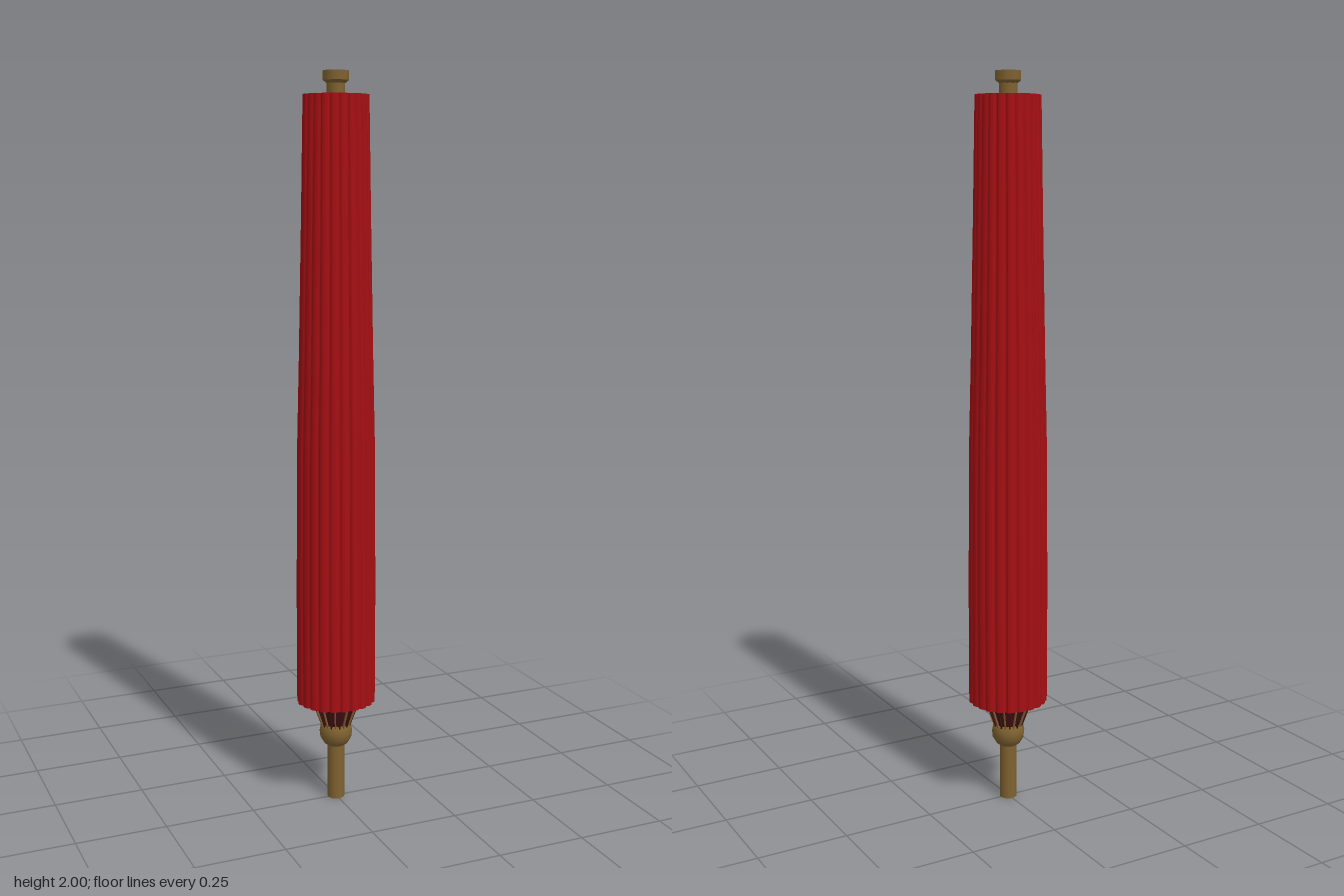
import * as THREE from 'three';

const PLEATS = 22;
const mat = (name, color, side = THREE.FrontSide) => {
  const m = new THREE.MeshStandardMaterial({ color, side });
  m.name = name;
  return m;
};

// small repeatable variation per pleat
const vary = (i) => {
  const s = Math.sin(i * 12.9898 + 4.1) * 43758.5453;
  return s - Math.floor(s);
};

// lathe whose radius is folded into overlapping pleats; depth(r, y) scales the folds
function pleated(profile, depth) {
  const g = new THREE.LatheGeometry(profile.map(([r, y]) => new THREE.Vector2(r, y)), PLEATS * 8);
  const p = g.attributes.position;
  for (let i = 0; i < p.count; i++) {
    const x = p.getX(i), y = p.getY(i), z = p.getZ(i);
    const r = Math.hypot(x, z);
    const turn = (Math.atan2(x, z) / (Math.PI * 2) + 1.00001) % 1 * PLEATS;
    const k = Math.floor(turn), f = turn - k;
    const fold = Math.sqrt(Math.sin(Math.PI * Math.pow(f, 0.75)));
    const s = 1 + depth(r, y) * (fold - 0.9 + 0.35 * (vary(k) - 0.5) * fold);
    p.setXYZ(i, x * s * 1.02, y, z * s * 0.985);
  }
  g.computeVertexNormals();
  return g;
}

export function createModel() {
  const group = new THREE.Group();
  const red = mat('red paper', 0xa50f13, THREE.DoubleSide);
  const maroon = mat('dark lining', 0x431014, THREE.DoubleSide);
  const wood = mat('bamboo wood', 0x7f6230);
  const add = (name, geometry, material) => {
    const mesh = new THREE.Mesh(geometry, material);
    mesh.name = name;
    group.add(mesh);
    return mesh;
  };
  const lathe = (pts, sides) =>
    new THREE.LatheGeometry(pts.map(([r, y]) => new THREE.Vector2(r, y)), sides);

  // furled canopy, rim and underside
  add('canopy', pleated([[0.107, 0.29], [0.107, 0.6], [0.104, 1.0], [0.098, 1.25],
    [0.091, 1.6], [0.085, 1.94]], () => 0.08), red);
  add('canopyRim', pleated([[0.085, 1.94], [0.072, 1.932], [0.058, 1.92]],
    (r) => 0.08 * (r - 0.058) / 0.027), red);
  add('canopyUnderside', pleated([[0.066, 0.305], [0.107, 0.29]],
    (r) => 0.08 * (r - 0.066) / 0.041), maroon);

  // sunken well around the shaft at the top
  add('topWell', lathe([[0.02, 1.84], [0.052, 1.84], [0.058, 1.92]], 32), maroon);

  // gathered ribs running down into the collar
  add('ribLining', lathe([[0.036, 0.215], [0.066, 0.305]], 32), maroon);
  const from = new THREE.Vector3(0, 0.215, 0.039), to = new THREE.Vector3(0, 0.3, 0.07);
  const ribGeo = new THREE.BoxGeometry(0.004, from.distanceTo(to), 0.005);
  ribGeo.rotateX(Math.atan2(to.z - from.z, to.y - from.y));
  ribGeo.translate(0, (from.y + to.y) / 2, (from.z + to.z) / 2);
  for (let i = 0; i < PLEATS; i++) {
    const rib = add('rib', ribGeo, i % 2 ? maroon : wood);
    rib.rotation.y = (i + 0.5) / PLEATS * Math.PI * 2;
  }

  // shaft, collar and finial
  const shaft = add('shaft', new THREE.CylinderGeometry(0.024, 0.024, 1.975, 16), wood);
  shaft.position.y = 0.9875;
  add('collar', lathe([[0.022, 0.155], [0.034, 0.163], [0.044, 0.18], [0.046, 0.198],
    [0.043, 0.214], [0.036, 0.224], [0.02, 0.226]], 16), wood);
  const cap = add('finial', new THREE.CylinderGeometry(0.034, 0.034, 0.024, 10), wood);
  cap.position.y = 1.988;
  const bevel = add('finialNeck', new THREE.CylinderGeometry(0.034, 0.024, 0.008, 10), wood);
  bevel.position.y = 1.972;

  return group;
}
